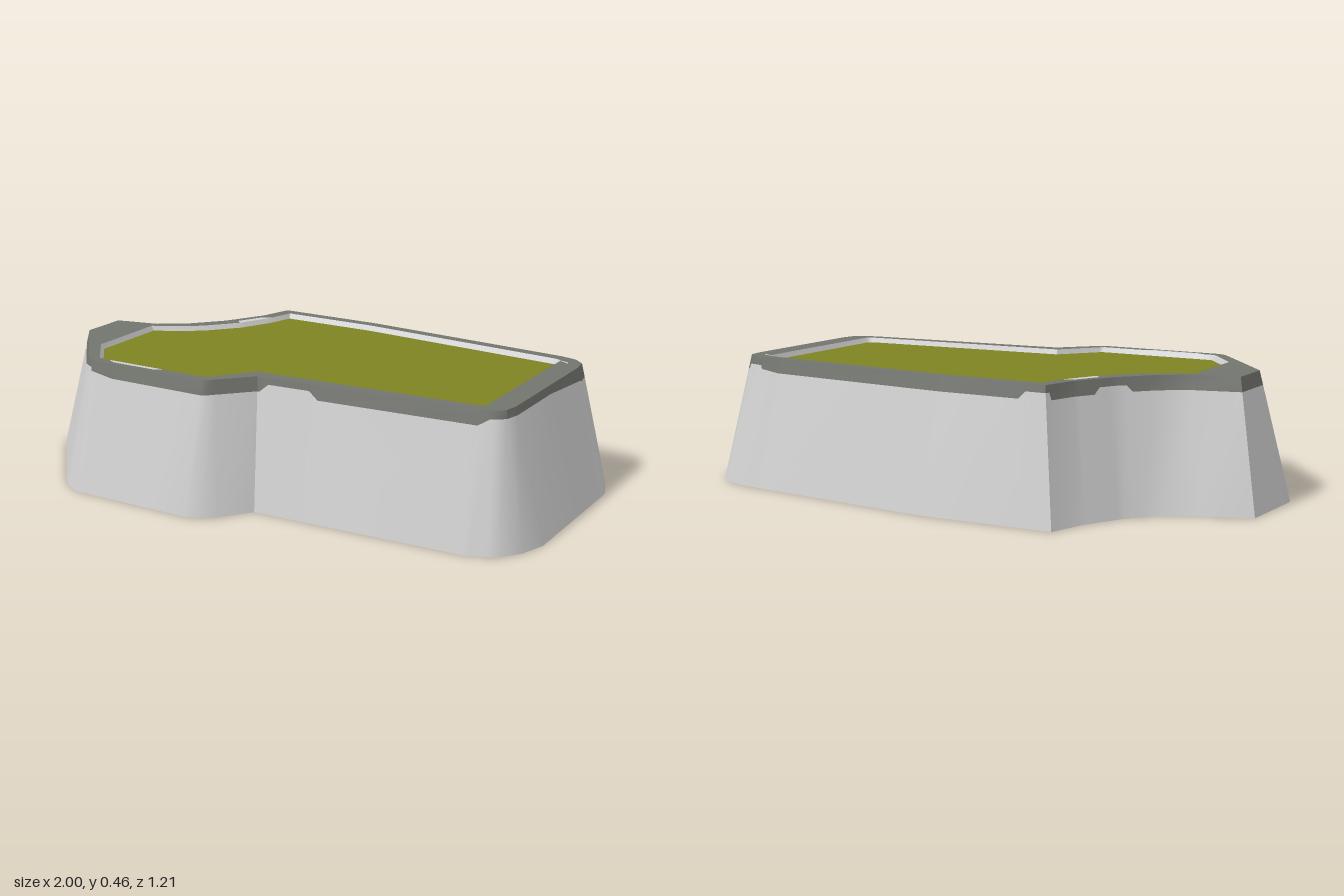
import * as THREE from 'three';
import { toCreasedNormals } from 'three/addons/utils/BufferGeometryUtils.js';

const HEIGHT = 0.455, BAND = 0.405, SOIL = 0.437;

// Plan outlines as x, z pairs, matched point for point: foot, rim edge, bed edge
const FOOT = [-.98, -.085, -1, .2, -.72, .53, -.67, .575, -.61, .6, -.14, .6, -.08, .582, -.04, .545,
  .037, .44, .82, .405, .915, .365, .968, .295, 1, .2, 1, -.35, .97, -.44, .91, -.51, .81, -.54,
  0, -.605, -.485, -.58, -.53, -.45, -.61, -.305, -.7, -.21, -.81, -.155];
const RIM = [-.89, -.015, -.89, .16, -.66, .445, -.64, .468, -.61, .482, -.14, .482, -.12, .468, -.105, .45,
  -.005, .345, .79, .29, .85, .272, .875, .25, .885, .2, .885, -.32, .877, -.38, .84, -.415, .78, -.43,
  -.015, -.495, -.415, -.495, -.45, -.375, -.53, -.23, -.635, -.11, -.73, -.05];
const BED = [-.72, -.015, -.715, .29, -.61, .425, -.605, .43, -.595, .435, -.16, .435, -.15, .43, -.145, .425,
  -.035, .29, .765, .245, .775, .242, .785, .235, .79, .22, .79, -.36, .785, -.37, .778, -.376, .76, -.38,
  -.015, -.445, -.375, -.445, -.4, -.35, -.46, -.225, -.555, -.115, -.635, -.06];
const COUNT = FOOT.length / 2;

// Worn patches: start and end along the outline, and how far they reach
const WALL_CHIPS = [[1.74, 4.19, 0.027], [8.01, 8.29, 0.027], [9.1, 13.12, 0.022],
  [14.5, 16.1, 0.022], [17.75, 18.2, 0.025], [19.5, 20.4, 0.022]];
const RIM_CHIPS = [[4.08, 4.63, 0.5], [13.03, 13.65, 0.42], [19, 20, 0.5]];

// Point on an outline at position u (index plus fraction)
function at(outline, u, y) {
  const i = Math.floor(u) % COUNT, j = (i + 1) % COUNT, t = u - Math.floor(u);
  return new THREE.Vector3(
    THREE.MathUtils.lerp(outline[i * 2], outline[j * 2], t), y,
    THREE.MathUtils.lerp(outline[i * 2 + 1], outline[j * 2 + 1], t));
}

// Patch size at u, with short ramps at both ends
function chip(list, u) {
  for (const [a, b, size] of list) {
    const ramp = (b - a) * 0.15;
    if (u > a && u < b) return size * Math.min(1, (u - a) / ramp, (b - u) / ramp);
  }
  return 0;
}

// Stations around the outline: every corner plus the knots of each patch
function stations() {
  const list = [];
  for (let i = 0; i <= COUNT; i++) list.push(i);
  for (const [a, b] of [...WALL_CHIPS, ...RIM_CHIPS]) {
    const ramp = (b - a) * 0.15;
    list.push(a, a + ramp, b - ramp, b);
  }
  return [...new Set(list)].sort((a, b) => a - b);
}

// Closed strip of quads between two curves
function strip(us, low, high) {
  const pos = [];
  const tri = (...points) => points.forEach((p) => pos.push(p.x, p.y, p.z));
  for (let i = 0; i < us.length - 1; i++) {
    const a = low(us[i]), b = low(us[i + 1]), c = high(us[i + 1]), d = high(us[i]);
    if (b.distanceTo(c) > 1e-6) tri(a, b, c);
    if (a.distanceTo(d) > 1e-6) tri(a, c, d);
  }
  const geometry = new THREE.BufferGeometry();
  geometry.setAttribute('position', new THREE.Float32BufferAttribute(pos, 3));
  return toCreasedNormals(geometry, 0.6);
}

export function createModel() {
  const group = new THREE.Group();
  const material = (name, color) => {
    const m = new THREE.MeshStandardMaterial({ color, side: THREE.DoubleSide });
    m.name = name;
    return m;
  };
  const pale = material('pale stone', 0xcfcfcf);
  const dark = material('dark stone', 0x72746e);
  const moss = material('moss green', 0x7e8323);
  const add = (name, geometry, mat) => {
    const mesh = new THREE.Mesh(geometry, mat);
    mesh.name = name;
    group.add(mesh);
  };

  const us = stations();
  const foot = (u) => at(FOOT, u, 0);
  const rimEdge = (u) => at(RIM, u, HEIGHT);
  const bedEdge = (u) => at(BED, u, SOIL);
  const lipEdge = (u) => at(BED, u, HEIGHT).multiply(new THREE.Vector3(1.012, 1, 1.025));
  const bandEdge = (u) => foot(u).lerp(rimEdge(u), (BAND + chip(WALL_CHIPS, u)) / HEIGHT);
  const wearEdge = (u) => lipEdge(u).lerp(rimEdge(u), chip(RIM_CHIPS, u));

  // Sloping wall with its dark top band
  add('wall', strip(us, foot, bandEdge), pale);
  add('wallBand', strip(us, bandEdge, rimEdge), dark);

  // Flat rim, its worn patches and the inner lip
  add('rim', strip(us, rimEdge, wearEdge), dark);
  add('rimWear', strip(us, wearEdge, lipEdge), pale);
  add('innerLip', strip(us, lipEdge, bedEdge), pale);

  // Green bed, slightly sunk inside the rim
  const outline = [];
  for (let i = 0; i < COUNT; i++) outline.push(new THREE.Vector2(BED[i * 2], -BED[i * 2 + 1]));
  const bed = new THREE.ShapeGeometry(new THREE.Shape(outline));
  bed.rotateX(-Math.PI / 2).translate(0, SOIL, 0);
  add('bed', bed, moss);

  return group;
}
